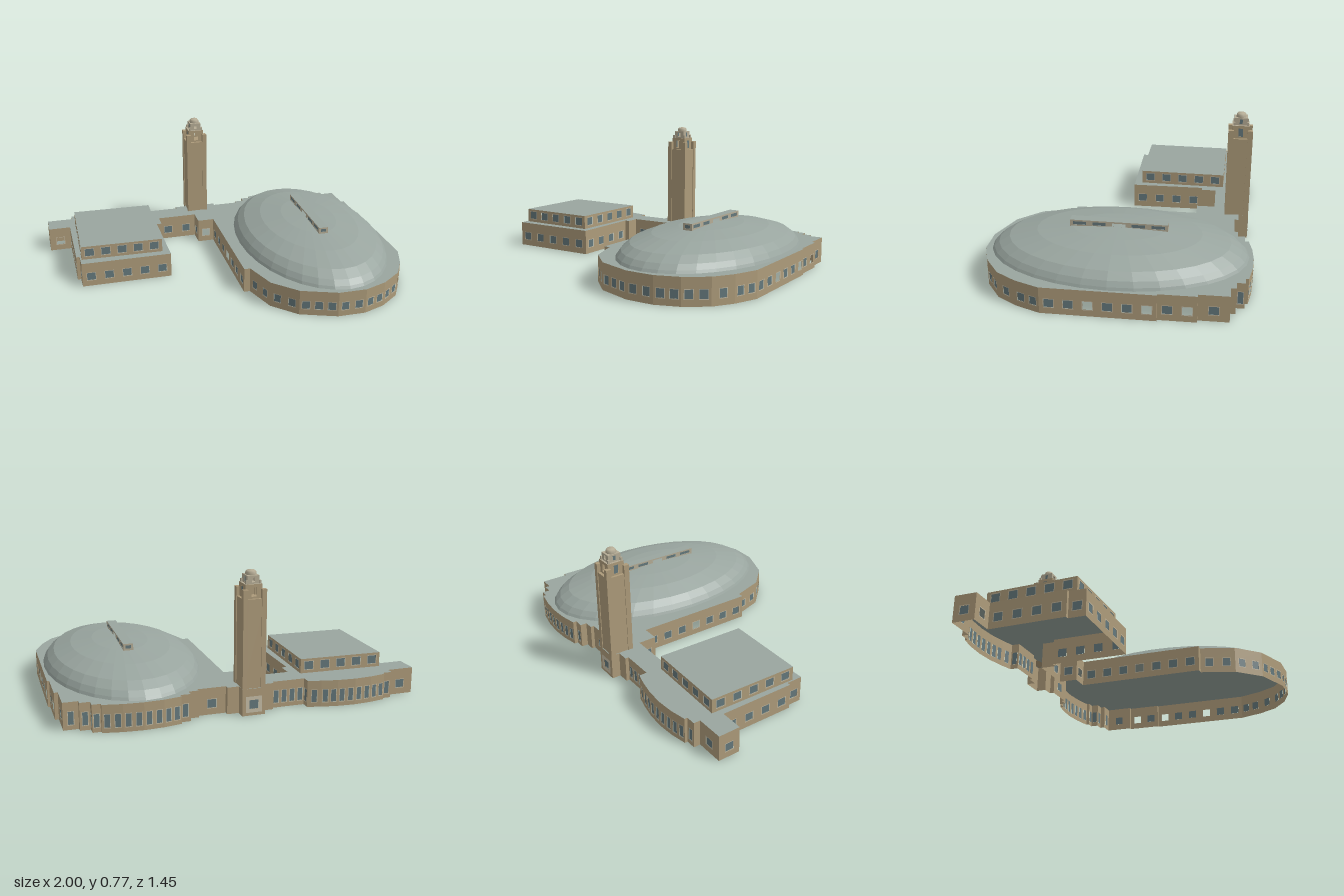
import * as THREE from 'three';
import { mergeGeometries } from 'three/addons/utils/BufferGeometryUtils.js';

const mat = (name, color, extra = {}) => {
  const m = new THREE.MeshStandardMaterial({ color, side: THREE.DoubleSide, ...extra });
  m.name = name;
  return m;
};

export function createModel() {
  const brick = mat('tan brick', 0xad9b7a);
  const stone = mat('pale stone', 0xb5ac95);
  const trim = mat('light window trim', 0xc6bda6);
  const roofing = mat('grey roofing', 0x99a59f, { flatShading: true });
  const glass = mat('window glass', 0x64787c);
  const model = new THREE.Group();

  const add = (name, geometry, material, parent = model) => {
    const mesh = new THREE.Mesh(geometry, material);
    mesh.name = name;
    parent.add(mesh);
    return mesh;
  };

  const rect = (path, x0, y0, x1, y1) =>
    path.moveTo(x0, y0).lineTo(x1, y0).lineTo(x1, y1).lineTo(x0, y1).closePath();

  // Ring of upright walls with window openings; glass sits just behind each opening.
  // style(p, q) gives { spacing, w, y0, y1, frame }; open lists [x, z] of unglazed windows.
  function walledRing(name, pts, bottom, top, style, open, material, parent) {
    const walls = [], panes = [], frames = [];
    pts.forEach((p, i) => {
      const q = pts[(i + 1) % pts.length];
      const len = Math.hypot(p[0] - q[0], p[1] - q[1]);
      const s = style(p, q);
      const count = Math.floor(len / s.spacing + 0.1);
      const shape = new THREE.Shape();
      rect(shape, 0, bottom, len, top);
      const place = (g) => g.rotateY(Math.atan2(q[1] - p[1], p[0] - q[0])).translate(q[0], 0, q[1]);
      for (let k = 0; k < count; k++) {
        const t = (k + 0.5) / count, c = t * len;
        const hole = new THREE.Path();
        rect(hole, c - s.w / 2, s.y0, c + s.w / 2, s.y1);
        shape.holes.push(hole);
        if (s.frame) {
          const surround = new THREE.Shape();
          rect(surround, c - s.w / 2 - s.frame, s.y0 - s.frame, c + s.w / 2 + s.frame, s.y1 + s.frame);
          surround.holes.push(hole);
          frames.push(place(new THREE.ShapeGeometry(surround).translate(0, 0, 0.002)));
        }
        const x = q[0] + (p[0] - q[0]) * t, z = q[1] + (p[1] - q[1]) * t;
        if (open.some(([ox, oz]) => Math.hypot(x - ox, z - oz) < 0.04)) continue;
        panes.push(place(new THREE.PlaneGeometry(s.w, s.y1 - s.y0)
          .translate(c, (s.y0 + s.y1) / 2, -0.002)));
      }
      walls.push(place(new THREE.ShapeGeometry(shape)));
    });
    add(name + 'Walls', mergeGeometries(walls), material, parent);
    add(name + 'Windows', mergeGeometries(panes), glass, parent);
    if (frames.length) add(name + 'WindowFrames', mergeGeometries(frames), trim, parent);
  }

  const flatRoof = (name, pts, y, material, parent) => {
    const shape = new THREE.Shape(pts.map(([x, z]) => new THREE.Vector2(x, -z)));
    return add(name, new THREE.ShapeGeometry(shape).rotateX(-Math.PI / 2).translate(0, y, 0), material, parent);
  };

  const oblong = (w, d) => [[-w / 2, -d / 2], [w / 2, -d / 2], [w / 2, d / 2], [-w / 2, d / 2]];

  // Ground storey: bowed back walls, rounded arena front, linking wing and side hall
  const back = [
    [-1, -0.645], [-0.845, -0.645], [-0.845, -0.683], [-0.79, -0.683], [-0.79, -0.7], [-0.7, -0.717],
    [-0.6, -0.724], [-0.5, -0.717], [-0.41, -0.7], [-0.337, -0.68], [-0.337, -0.635], [-0.15, -0.635],
    [-0.15, -0.655], [-0.083, -0.655], [-0.083, -0.705], [0.045, -0.705], [0.045, -0.65], [0.11, -0.65],
    [0.11, -0.625], [0.265, -0.625], [0.265, -0.645], [0.32, -0.645], [0.32, -0.683], [0.375, -0.683],
    [0.375, -0.704], [0.47, -0.722], [0.575, -0.728], [0.68, -0.72], [0.785, -0.7], [0.785, -0.683],
    [0.83, -0.683], [0.83, -0.638], [0.885, -0.638], [0.885, -0.61], [0.965, -0.61],
  ];
  const arena = [
    [0.965, -0.45], [0.985, -0.45], [0.985, -0.25], [0.997, -0.25], [0.993, 0.345], [0.94, 0.48],
    [0.87, 0.59], [0.75, 0.675], [0.62, 0.72], [0.46, 0.717], [0.26, 0.64], [0.135, 0.51], [0.075, 0.32],
    [0.04, 0.32], [0.045, -0.4],
  ];
  const wing = [
    [-0.055, -0.4], [-0.055, -0.505], [-0.295, -0.505], [-0.295, -0.42], [-0.325, -0.42],
    [-0.325, 0.015], [-0.855, 0.01], [-0.855, -0.085], [-0.875, -0.085], [-0.87, -0.52], [-1, -0.52],
  ];
  const outline = [...back, ...arena, ...wing];
  const H = 0.148;
  walledRing('groundStorey', outline, 0, H, (p, q) => {
    const rear = p[1] < -0.605 && q[1] < -0.605;
    if (rear && Math.abs(p[0]) > 0.3 && Math.abs(p[0]) < 0.9) {
      return { spacing: 0.045, w: 0.028, y0: 0.027, y1: 0.097, frame: 0.003 };
    }
    if (rear && p[1] === -0.705 && q[1] === -0.705) {
      return { spacing: 0.1, w: 0.05, y0: 0.037, y1: 0.086, frame: 0.02 };
    }
    const curved = p[1] > 0.3 && q[1] > 0.3;
    return { spacing: curved ? 0.07 : 0.095, w: curved ? 0.042 : 0.05, y0: 0.038, y1: 0.085, frame: 0.003 };
  }, [
    [0.995, 0.1], [0.995, -0.2], [0.985, -0.4],
    [-0.005, -0.4], [-0.43, 0.015], [0.043, -0.04], [-0.94, -0.52],
  ], brick);
  flatRoof('groundRoof', outline, H, roofing);

  // Upper storey on the side hall
  const upper = new THREE.Group();
  upper.name = 'upperStorey';
  upper.position.set(-0.6, 0, -0.298);
  upper.rotation.y = -0.028;
  model.add(upper);
  walledRing('upper', oblong(0.48, 0.52), H, 0.23,
    () => ({ spacing: 0.095, w: 0.052, y0: 0.168, y1: 0.215, frame: 0.003 }), [], brick, upper);
  flatRoof('upperRoof', oblong(0.48, 0.52), 0.23, roofing, upper);

  // Oval dome with a long roof lantern
  const dome = new THREE.Group();
  dome.name = 'dome';
  dome.position.set(0.547, 0, -0.005);
  dome.rotation.y = -0.018;
  model.add(dome);
  const profile = [[1, H], [0.985, 0.163], [0.945, 0.19], [0.86, 0.224], [0.64, 0.263], [0.36, 0.286], [0, 0.297]]
    .map(([r, y]) => new THREE.Vector2(r, y));
  add('domeShell', new THREE.LatheGeometry(profile, 32).scale(0.435, 1, 0.7), roofing, dome);
  const lantern = new THREE.Group();
  lantern.name = 'roofLantern';
  dome.add(lantern);
  walledRing('lantern', oblong(0.055, 0.53), 0.28, 0.322,
    (p, q) => (p[0] === q[0]
      ? { spacing: 0.106, w: 0.072, y0: 0.295, y1: 0.313 }
      : { spacing: 0.05, w: 0.03, y0: 0.295, y1: 0.313 }),
    [[0.0275, 0], [-0.0275, 0]], stone, lantern);
  flatRoof('lanternRoof', oblong(0.055, 0.53), 0.322, roofing, lantern);

  // Tower: shaft with corner piers, two set-back belfry stages and a rounded cap
  const tower = new THREE.Group();
  tower.name = 'tower';
  tower.position.set(-0.019, 0, -0.635);
  model.add(tower);
  const box = (name, w, d, y0, y1, x, z, material) =>
    add(name, new THREE.BoxGeometry(w, y1 - y0, d).translate(x, (y0 + y1) / 2, z), material, tower);
  box('shaft', 0.12, 0.13, H, 0.625, 0, 0, brick);
  for (const sx of [-1, 1]) for (const sz of [-1, 1]) {
    box('cornerPier', 0.026, 0.03, H, 0.675, sx * 0.051, sz * 0.0545, brick);
    box('belfryPinnacle', 0.012, 0.012, 0.7, 0.718, sx * 0.036, sz * 0.038, stone);
  }
  walledRing('lowerBelfry', oblong(0.092, 0.098), 0.625, 0.7,
    () => ({ spacing: 0.09, w: 0.026, y0: 0.635, y1: 0.684 }), [[0, 0.049], [0, -0.049]], brick, tower);
  flatRoof('lowerBelfryRoof', oblong(0.092, 0.098), 0.7, stone, tower);
  walledRing('upperBelfry', oblong(0.066, 0.076), 0.7, 0.743,
    () => ({ spacing: 0.06, w: 0.017, y0: 0.708, y1: 0.734 }), [[0, 0.038], [0, -0.038]], stone, tower);
  flatRoof('upperBelfryRoof', oblong(0.066, 0.076), 0.743, stone, tower);
  const capProfile = [[0.029, 0.743], [0.029, 0.757], [0.022, 0.766], [0, 0.769]]
    .map(([r, y]) => new THREE.Vector2(r, y));
  add('towerCap', new THREE.LatheGeometry(capProfile, 8, Math.PI / 8), stone, tower);

  return model;
}
